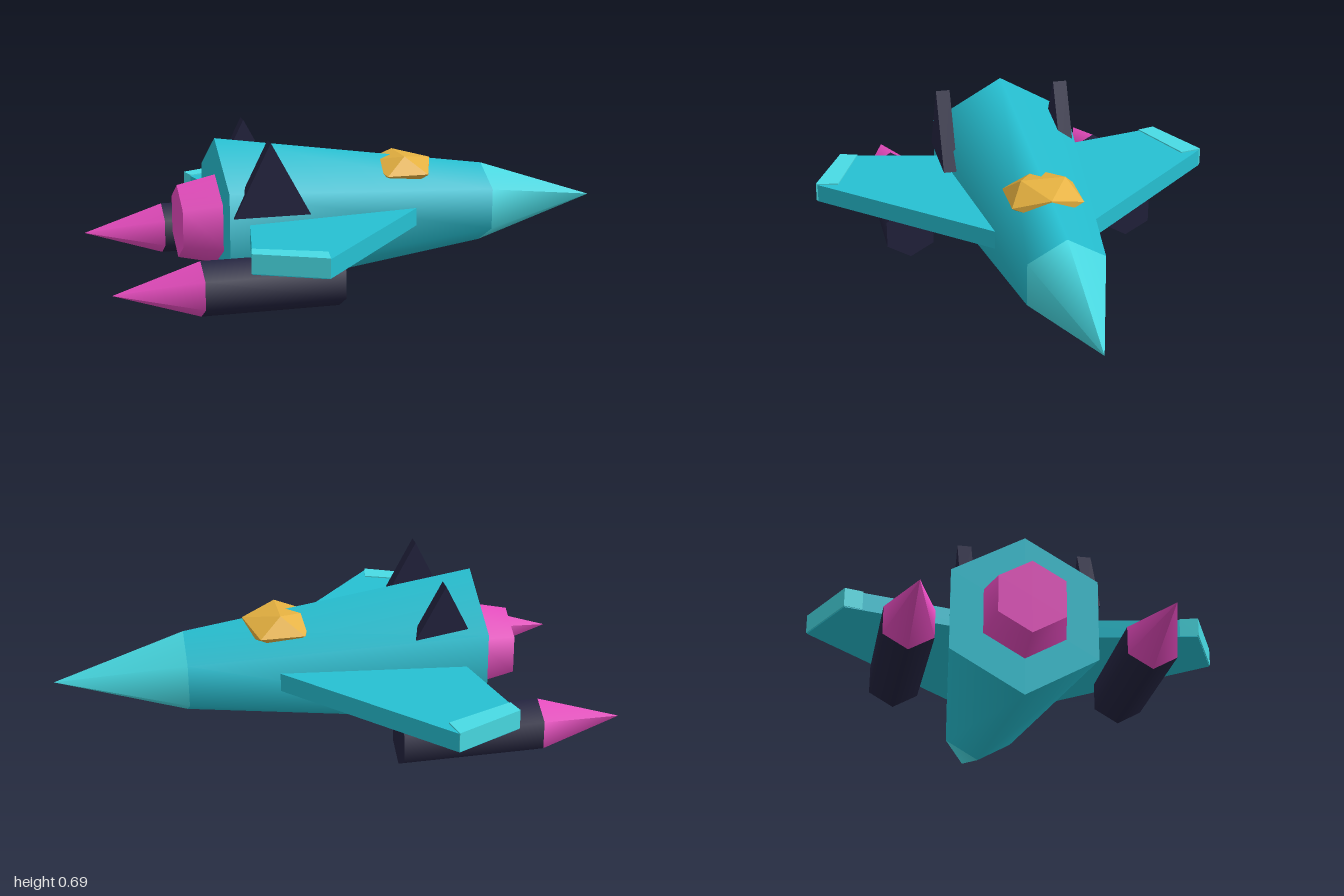
import * as THREE from 'three';

const mat = (name, color, flatShading = false) => {
  const m = new THREE.MeshStandardMaterial({ color });
  m.name = name;
  m.flatShading = flatShading;
  return m;
};

export function createModel() {
  const teal = mat('teal hull', 0x26c0d2);
  const pale = mat('pale teal trim', 0x48dbe4);
  const navy = mat('dark navy', 0x23233f);
  const pink = mat('pink exhaust', 0xe84cc0);
  const gold = mat('gold canopy', 0xe4b040, true);

  // Ship frame: nose along +x, sides along z; turned on the ground at the end
  const ship = new THREE.Group();
  ship.name = 'ship';
  const add = (name, geometry, material) => {
    const mesh = new THREE.Mesh(geometry, material);
    mesh.name = name;
    ship.add(mesh);
    return mesh;
  };

  // Six-sided tube along x, with a corner on top
  const hexTube = (name, x0, x1, r0, r1, y, z, material) => {
    const g = new THREE.CylinderGeometry(r1, r0, x1 - x0, 6, 1, false, Math.PI / 2);
    g.rotateZ(-Math.PI / 2);
    g.translate((x0 + x1) / 2, y, z);
    return add(name, g, material);
  };

  // Flat horizontal plate from [x, z] corners
  const plate = (name, corners, side, y0, y1, material) => {
    const shape = new THREE.Shape(corners.map(([x, z]) => new THREE.Vector2(x, z * side)));
    const g = new THREE.ExtrudeGeometry(shape, { depth: y1 - y0, bevelEnabled: false });
    g.rotateX(Math.PI / 2);
    g.translate(0, y1, 0);
    return add(name, g, material);
  };

  // Hull, nose cone and main exhaust
  const axisY = 0.327;
  hexTube('fuselage', -0.365, 0.757, 0.327, 0.165, axisY, 0, teal);
  hexTube('noseCone', 0.757, 1.251, 0.165, 0, axisY, 0, pale);
  hexTube('mainExhaust', -0.518, -0.35, 0.147, 0.185, axisY, 0, pink);

  // Canopy: squashed icosahedron half sunk into the hull
  const canopy = new THREE.IcosahedronGeometry(0.16, 0);
  canopy.rotateY(Math.PI / 2);
  canopy.scale(1, 0.5, 1);
  canopy.translate(0.395, 0.487, 0);
  add('canopy', canopy, gold);

  const wing = [[0.49, 0.1], [-0.115, 0.795], [-0.367, 0.672], [-0.25, 0.1]];
  const tip = [[-0.098, 0.712], [-0.114, 0.799], [-0.371, 0.674], [-0.354, 0.605]];
  const fin = new THREE.Shape([[-0.35, 0.398], [-0.05, 0.398], [-0.207, 0.685]]
    .map(([x, y]) => new THREE.Vector2(x, y)));

  for (const side of [1, -1]) {
    const label = side < 0 ? 'port' : 'starboard';
    // Wing with a pale tip
    plate(label + 'Wing', wing, side, 0.293, 0.365, teal);
    plate(label + 'WingTip', tip, side, 0.297, 0.37, pale);
    // Engine pod and its pointed flame
    hexTube(label + 'Engine', -0.512, 0.02, 0.1075, 0.1075, 0.183, 0.447 * side, navy);
    hexTube(label + 'Flame', -0.84, -0.512, 0, 0.1075, 0.183, 0.447 * side, pink);
    // Upright triangular fin
    const g = new THREE.ExtrudeGeometry(fin, { depth: 0.055, bevelEnabled: false });
    g.translate(0, 0, 0.24 * side);
    add(label + 'Fin', g, navy);
  }

  // Turn the ship and centre it
  ship.position.set(-0.085 * Math.sin(0.59), 0, -0.085 * Math.cos(0.59));
  ship.rotation.y = 0.59;
  const model = new THREE.Group();
  model.name = 'spaceship';
  model.add(ship);
  return model;
}
